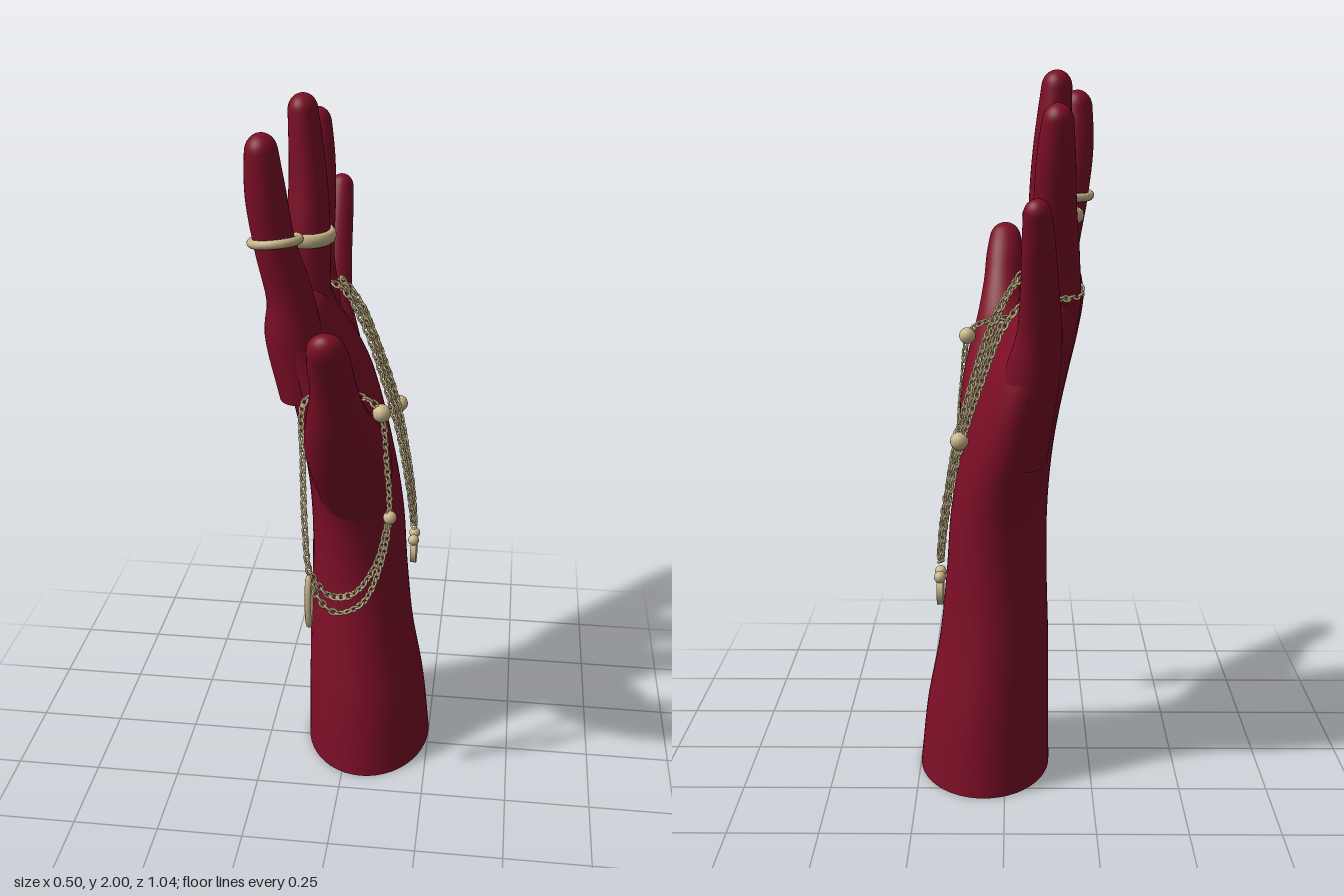
import * as THREE from 'three';
import { mergeGeometries } from 'three/addons/utils/BufferGeometryUtils.js';

const V = (x, y, z) => new THREE.Vector3(x, y, z);

// Smooth tube through rows [x, y, z, halfWidth, halfThickness] with a rounded far end
function loft(rows, level = false, steps = 44, sides = 32) {
  const path = new THREE.CatmullRomCurve3(rows.map(r => V(r[0], r[1], r[2])));
  const size = new THREE.CatmullRomCurve3(rows.map((r, i) => V(r[3], r[4], i * 0.1)));
  const end = path.getPoint(1), pos = [], index = [];
  for (let i = 0; i <= steps; i++) {
    const s = 1 - (1 - i / steps) ** 2;
    const p = path.getPoint(s), r = size.getPoint(s);
    const T = level ? V(0, 1, 0) : path.getTangent(s);
    const X = V(1, 0, 0).addScaledVector(T, -T.x).normalize();
    const W = T.clone().cross(X);
    const u = Math.max(0, 1 - p.distanceTo(end) / r.y);
    const cap = Math.sqrt(Math.max(0, 1 - u * u)) + 1e-4;
    for (let j = 0; j < sides; j++) {
      const a = j / sides * Math.PI * 2;
      const q = p.clone().addScaledVector(X, Math.cos(a) * r.y * cap).addScaledVector(W, Math.sin(a) * r.x * cap);
      pos.push(q.x, q.y, q.z);
      if (i < steps) {
        const k = (j + 1) % sides, o = i * sides, n = o + sides;
        index.push(o + j, o + k, n + j, o + k, n + k, n + j);
      }
    }
  }
  const g = new THREE.BufferGeometry();
  g.setAttribute('position', new THREE.Float32BufferAttribute(pos, 3));
  g.setIndex(index);
  g.computeVertexNormals();
  return g;
}

// Chain of small interlocking links along a path
function chain(points, closed, pitch = 0.02) {
  const path = new THREE.CatmullRomCurve3(points.map(p => V(...p)), closed);
  const count = Math.round(path.getLength() / pitch), links = [];
  for (let i = 0; i < count; i++) {
    const t = i / count;
    const g = new THREE.TorusGeometry(0.0085, 0.0035, 5, 9);
    g.scale(1.5, 1, 1);
    g.rotateX(i % 2 ? Math.PI / 4 : -Math.PI / 4);
    g.applyQuaternion(new THREE.Quaternion().setFromUnitVectors(V(1, 0, 0), path.getTangentAt(t)));
    const p = path.getPointAt(t);
    links.push(g.translate(p.x, p.y, p.z));
  }
  return mergeGeometries(links);
}

export function createModel() {
  const skin = new THREE.MeshStandardMaterial({ color: 0x7c0e26 });
  skin.name = 'deep red';
  const gold = new THREE.MeshStandardMaterial({ color: 0xcbb88c });
  gold.name = 'pale gold';
  const model = new THREE.Group();
  const add = (name, geometry, material, parent = model) => {
    const m = new THREE.Mesh(geometry, material);
    m.name = name;
    parent.add(m);
    return m;
  };

  // Hand: forearm and palm in one loft, then the digits
  const hand = new THREE.Group();
  hand.name = 'hand';
  model.add(hand);
  add('forearmAndPalm', loft([
    [0.06, 0, -0.06, 0.25, 0.19],
    [0.05, 0.2, -0.065, 0.23, 0.178],
    [0.032, 0.4, -0.078, 0.198, 0.158],
    [0.024, 0.6, -0.09, 0.175, 0.144],
    [0.016, 0.8, -0.092, 0.188, 0.136],
    [-0.012, 1.0, -0.092, 0.243, 0.125],
    [-0.06, 1.2, -0.1, 0.265, 0.115],
    [-0.1, 1.31, -0.093, 0.256, 0.1],
    [-0.13, 1.4, -0.065, 0.225, 0.086],
    [-0.135, 1.49, -0.05, 0.2, 0.075],
  ], true, 64, 48), skin, hand);
  const base = add('forearmBase', new THREE.CircleGeometry(1, 48), skin, hand);
  base.scale.set(0.19, 0.25, 1);
  base.rotation.x = Math.PI / 2;
  base.position.set(0.06, 0, -0.06);

  const digits = {
    indexFinger: [[-0.11, 1.22, 0.07, 0.08, 0.075], [-0.14, 1.4, 0.09, 0.075, 0.078], [-0.145, 1.5, 0.1, 0.066, 0.064],
      [-0.18, 1.66, 0.125, 0.06, 0.055], [-0.197, 1.8, 0.145, 0.055, 0.053], [-0.205, 1.95, 0.158, 0.046, 0.038]],
    middleFinger: [[-0.1, 1.22, -0.07, 0.08, 0.075], [-0.135, 1.4, -0.085, 0.075, 0.08], [-0.13, 1.5, -0.09, 0.066, 0.068],
      [-0.125, 1.62, -0.095, 0.063, 0.062], [-0.125, 1.78, -0.105, 0.056, 0.052], [-0.14, 2.0, -0.112, 0.05, 0.038]],
    ringFinger: [[-0.08, 1.18, -0.16, 0.075, 0.07], [-0.125, 1.38, -0.215, 0.066, 0.075], [-0.135, 1.52, -0.25, 0.055, 0.062],
      [-0.13, 1.65, -0.29, 0.052, 0.056], [-0.13, 1.78, -0.33, 0.05, 0.05], [-0.135, 1.915, -0.365, 0.042, 0.036]],
    littleFinger: [[-0.04, 0.98, -0.235, 0.08, 0.075], [-0.07, 1.2, -0.295, 0.07, 0.075], [-0.09, 1.33, -0.343, 0.054, 0.06],
      [-0.09, 1.45, -0.397, 0.044, 0.05], [-0.085, 1.58, -0.455, 0.039, 0.042], [-0.08, 1.69, -0.5, 0.031, 0.032]],
    thumb: [[0.02, 0.86, 0.0, 0.09, 0.1], [0.02, 1.03, 0.115, 0.125, 0.115], [0.014, 1.14, 0.225, 0.11, 0.108],
      [0.01, 1.25, 0.325, 0.078, 0.084], [0.01, 1.37, 0.4, 0.057, 0.06], [0.005, 1.46, 0.447, 0.05, 0.055], [0, 1.545, 0.505, 0.034, 0.042]],
  };
  for (const [name, rows] of Object.entries(digits)) add(name, loft(rows), skin, hand);

  // Finger rings
  const ring = (name, x, y, z, radius, tube, height, tilt) => {
    const g = new THREE.TorusGeometry(radius, tube, 10, 40);
    g.scale(1, 1, height);
    g.rotateX(Math.PI / 2);
    const m = add(name, g, gold);
    m.position.set(x, y, z);
    m.rotation.set(...tilt);
  };
  ring('indexRing', -0.178, 1.665, 0.124, 0.064, 0.011, 1.1, [-0.12, 0, 0.1]);
  ring('middleRing', -0.13, 1.62, -0.093, 0.071, 0.013, 1.5, [0, 0, 0]);

  const bead = (name, x, y, z, r) => add(name, new THREE.SphereGeometry(r, 14, 10), gold).position.set(x, y, z);

  // Bracelet draped over the thumb, with an open oval pendant
  add('thumbChain', chain([
    [-0.09, 1.26, 0.235], [-0.05, 1.285, 0.23], [0.04, 1.285, 0.225], [0.105, 1.25, 0.225], [0.13, 1.1, 0.232],
    [0.14, 0.93, 0.237], [0.12, 0.79, 0.25], [0.07, 0.67, 0.27], [0, 0.64, 0.28], [-0.05, 0.69, 0.29],
    [-0.075, 0.78, 0.295], [-0.085, 0.9, 0.29], [-0.092, 1.1, 0.265],
  ], true), gold);
  add('thumbChainInnerStrand', chain([
    [0.138, 0.92, 0.237], [0.1, 0.77, 0.24], [0.04, 0.685, 0.25], [-0.02, 0.685, 0.265], [-0.075, 0.77, 0.29],
  ], false), gold);
  bead('thumbClasp', 0.115, 1.235, 0.225, 0.025);
  bead('thumbBead', 0.142, 0.93, 0.237, 0.019);
  const oval = new THREE.TorusGeometry(0.048, 0.009, 8, 32);
  oval.rotateY(Math.PI / 2).scale(1, 1.5, 0.45);
  add('ovalPendant', oval, gold).position.set(-0.075, 0.685, 0.302);
  add('ovalPendantBar', new THREE.BoxGeometry(0.009, 0.13, 0.01), gold).position.set(-0.075, 0.685, 0.302);

  // Doubled chain looped round the ring finger and resting on the palm
  const loop = [
    [-0.205, 1.43, -0.225], [-0.14, 1.48, -0.158], [-0.04, 1.45, -0.15], [0.025, 1.34, -0.15], [0.075, 1.2, -0.15],
    [0.13, 1.0, -0.16], [0.16, 0.82, -0.178], [0.178, 0.67, -0.2], [0.165, 0.8, -0.235], [0.115, 1.03, -0.29],
    [0.06, 1.2, -0.298], [0.0, 1.35, -0.305], [-0.06, 1.42, -0.31], [-0.13, 1.42, -0.31],
  ];
  add('palmChain', chain(loop, true), gold);
  add('palmChainInnerStrand', chain(loop.slice(2, 12).map(([x, y, z]) =>
    [x + 0.003, y + 0.015, z + (z > -0.2 ? -0.02 : z < -0.2 ? 0.02 : 0)]), false), gold);
  bead('palmBead', 0.12, 1.04, -0.293, 0.025);

  // Round pendant with two small lobes
  const disc = new THREE.CylinderGeometry(0.042, 0.042, 0.018, 28);
  disc.rotateZ(Math.PI / 2);
  add('roundPendant', disc, gold).position.set(0.18, 0.587, -0.2);
  for (const s of [-1, 1]) bead('pendantLobe', 0.18, 0.632, -0.2 + s * 0.024, 0.017);
  return model;
}
